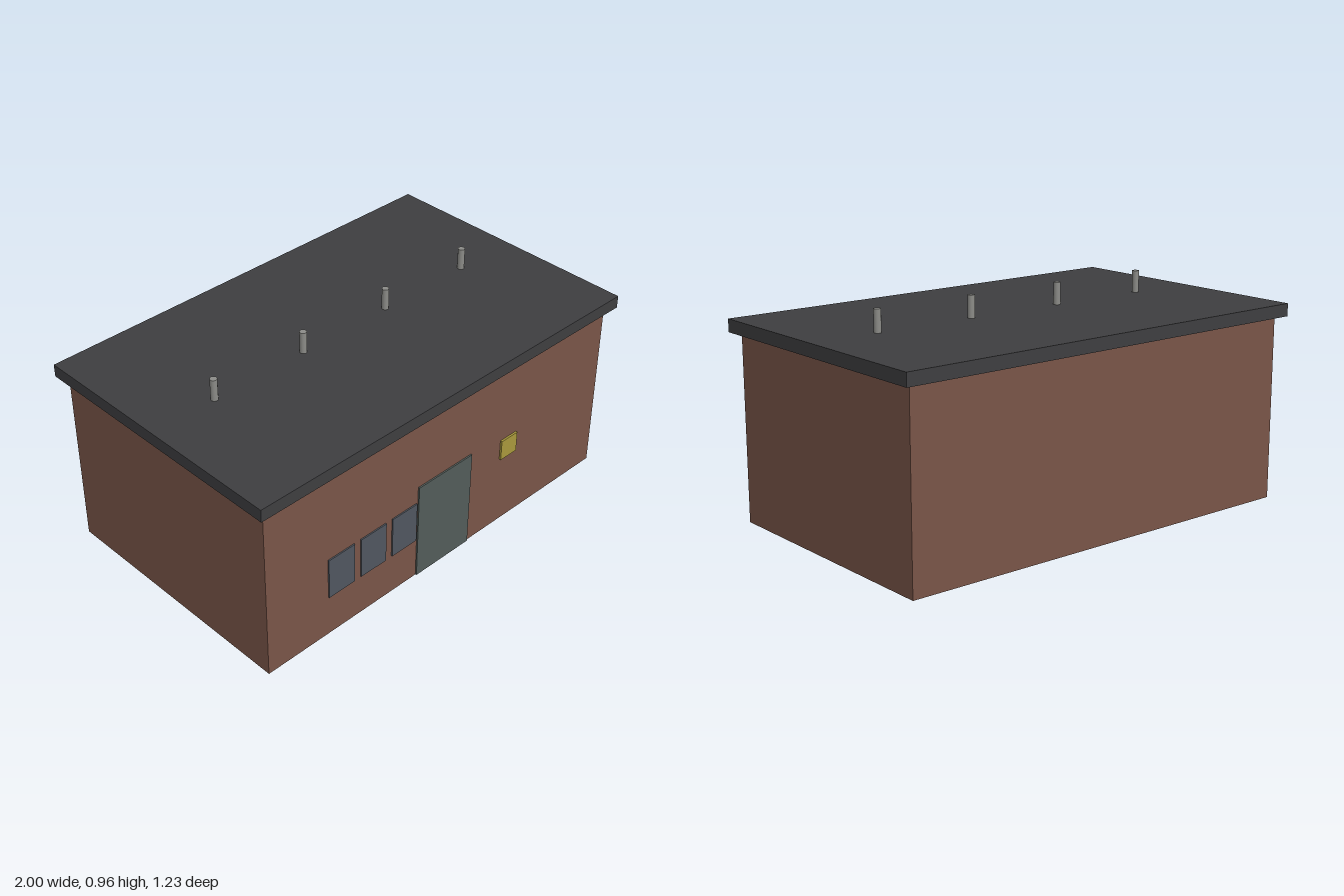
import * as THREE from 'three';

const paint = (color) => new THREE.MeshStandardMaterial({ color });

export function createModel() {
  const model = new THREE.Group();
  model.name = 'building';

  const brick = paint(0x795548);
  const roofGrey = paint(0x3e3e40);
  const doorGreen = paint(0x525c59);
  const glass = paint(0x50565f);
  const yellow = paint(0xa8983c);
  const metal = paint(0x8c8c88);

  // Box given by its centre in x and z and its bottom in y
  function box(name, material, w, h, d, x, y, z) {
    const mesh = new THREE.Mesh(new THREE.BoxGeometry(w, h, d), material);
    mesh.name = name;
    mesh.position.set(x, y + h / 2, z);
    model.add(mesh);
  }

  const wallFront = 0.577;

  // Main block and overhanging flat roof
  box('walls', brick, 1.923, 0.81, wallFront * 2, 0, 0, 0);
  box('roof', roofGrey, 2, 0.056, 1.23, 0, 0.81, 0);

  // Front panel fittings, standing slightly proud of the wall
  const panel = (name, material, w, h, x, y, proud) =>
    box(name, material, w, h, proud * 2, x, y, wallFront);

  panel('door', doorGreen, 0.308, 0.462, 0, 0.002, 0.007);
  for (let i = 0; i < 3; i++) {
    panel('window', glass, 0.138, 0.192, -0.577 + i * 0.173, 0.195, 0.006);
  }
  panel('wallSign', yellow, 0.096, 0.096, 0.385, 0.337, 0.009);

  // Row of vent pipes along the middle of the roof
  for (let i = 0; i < 4; i++) {
    const pipe = new THREE.Mesh(new THREE.CylinderGeometry(0.0154, 0.0154, 0.154, 12), metal);
    pipe.name = 'ventPipe';
    pipe.position.set(-0.692 + i * 0.4615, 0.885, 0);
    model.add(pipe);
  }

  return model;
}
